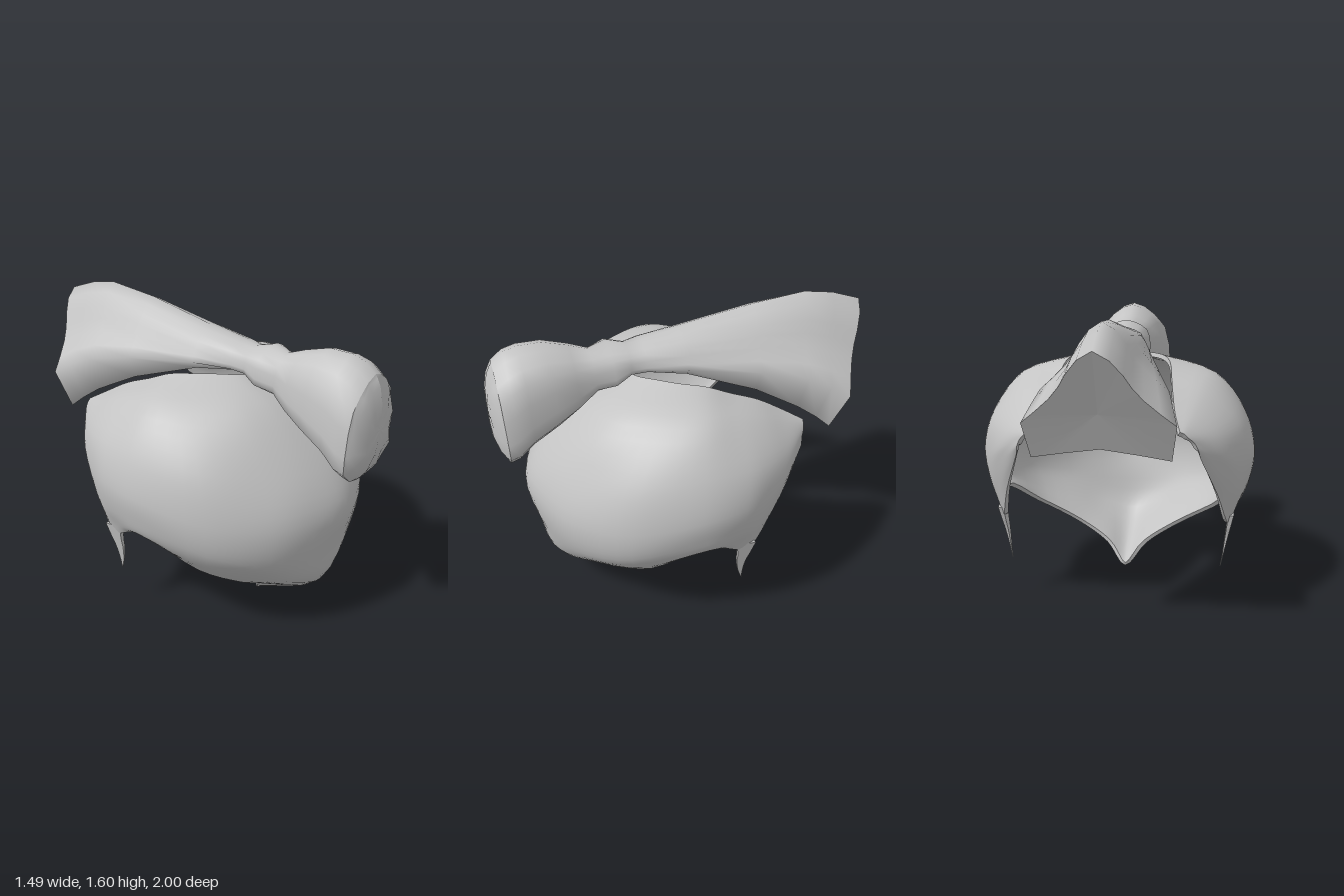
import * as THREE from 'three';

const V = (p) => new THREE.Vector3(...p);

// Smooth surface through a grid of points (columns of equal length)
function gridGeometry(cols) {
  const n = cols[0].length, index = [];
  for (let i = 0; i < cols.length - 1; i++) {
    for (let j = 0; j < n - 1; j++) {
      const a = i * n + j, c = a + n;
      index.push(a, a + 1, c, a + 1, c + 1, c);
    }
  }
  const g = new THREE.BufferGeometry().setFromPoints(cols.flat());
  g.setIndex(index);
  g.computeVertexNormals();
  return g;
}

// Half rail from front centre to rear corner, mirrored into one curve across the front
function rail(half) {
  const mirrored = half.slice(1).reverse().map(([x, y, z]) => [-x, y, z]);
  return new THREE.CatmullRomCurve3([...mirrored, ...half].map(V));
}

// Horizontal rails of the hood, from the slit on top to the lower edge
const slit = rail([[0, 1.3, .27], [.1, 1.32, .25], [.17, 1.33, .18], [.24, 1.33, .08], [.28, 1.31, -.05],
  [.295, 1.255, -.18], [.31, 1.2, -.32], [.33, 1.125, -.45], [.36, 1.06, -.56]]);
const shoulder = rail([[0, 1.18, .52], [.16, 1.2, .5], [.33, 1.22, .42], [.46, 1.24, .23], [.53, 1.24, .03],
  [.49, 1.21, -.15], [.46, 1.16, -.3], [.42, 1.1, -.435], [.38, 1.05, -.555]]);
const upper = rail([[0, .93, .76], [.21, .95, .71], [.39, .97, .6], [.6, 1.01, .38], [.68, 1.05, .08],
  [.66, 1.04, -.15], [.61, 1.02, -.29], [.52, 1.015, -.425], [.4, 1.03, -.55]]);
const equator = rail([[0, .72, .855], [.22, .72, .8], [.42, .72, .69], [.64, .76, .44], [.74, .83, .1],
  [.72, .85, -.13], [.67, .85, -.25], [.575, .91, -.4], [.43, 1, -.53]]);
const lower = rail([[0, .48, .81], [.2, .48, .775], [.4, .5, .67], [.62, .58, .44], [.725, .69, .08],
  [.7, .68, -.12], [.665, .68, -.22], [.58, .83, -.38], [.45, .96, -.52]]);
const chin = rail([[0, .23, .735], [.16, .28, .705], [.34, .36, .6], [.57, .47, .4], [.7, .61, .06],
  [.655, .57, -.13], [.64, .57, -.2], [.565, .75, -.37], [.455, .935, -.505]]);
const hem = rail([[0, 0, .33], [.12, .12, .41], [.3, .24, .43], [.53, .4, .32], [.65, .57, .03],
  [.63, .5, -.13], [.61, .48, -.2], [.55, .68, -.35], [.46, .91, -.49]]);

function buildHood(material) {
  const rails = [slit, shoulder, upper, equator, lower, chin, hem];
  const U = 64, W = 24, outer = [];
  for (let i = 0; i <= U; i++) {
    const column = new THREE.CatmullRomCurve3(rails.map((r) => r.getPoint(i / U)));
    outer.push(column.getPoints(W));
  }
  const outerGeo = gridGeometry(outer);
  const normal = outerGeo.attributes.normal;
  const inner = outer.map((col, i) => col.map((p, j) =>
    p.clone().addScaledVector(new THREE.Vector3().fromBufferAttribute(normal, i * (W + 1) + j), -.025)));

  // Rim joining the two skins all round the edge
  const loop = [];
  for (let i = 0; i <= U; i++) loop.push([i, 0]);
  for (let j = 1; j <= W; j++) loop.push([U, j]);
  for (let i = U - 1; i >= 0; i--) loop.push([i, W]);
  for (let j = W - 1; j >= 0; j--) loop.push([0, j]);
  const rim = loop.map(([i, j]) => [inner[i][j], outer[i][j]]);

  const hood = new THREE.Group();
  hood.name = 'hood';
  const parts = { hoodOuter: outerGeo, hoodLining: gridGeometry([...inner].reverse()), hoodRim: gridGeometry(rim) };
  for (const [name, geo] of Object.entries(parts)) {
    const mesh = new THREE.Mesh(geo, material);
    mesh.name = name;
    hood.add(mesh);
  }
  return hood;
}

// Half cross-sections (x as share of half width, y as share of height), top to bottom
const roundSection = [[0, 1], [.3, .96], [.6, .87], [.84, .76], [.96, .57], [1, .33],
  [.98, .17], [.64, .045], [.3, .01], [0, 0]];
const tentSection = [[0, 1], [.2, .92], [.36, .79], [.46, .68], [.6, .57], [.8, .45],
  [1, .34], [.93, 0], [.5, .05], [0, .1]];

// Knotted cloth stations: top z, top y, bottom z, bottom y, half width, tent share
const stations = [
  [-1, 1.51, -.73, .96, .36, 1], [-.84, 1.57, -.66, 1.02, .335, 1], [-.68, 1.6, -.56, 1.09, .31, 1],
  [-.4, 1.575, -.35, 1.19, .25, .8], [0, 1.5, 0, 1.3, .175, .4], [.2, 1.468, .2, 1.32, .12, 0],
  [.28, 1.455, .28, 1.31, .105, 0], [.38, 1.485, .36, 1.27, .14, 0], [.47, 1.46, .45, 1.24, .105, 0],
  [.57, 1.5, .55, 1.17, .15, 0], [.7, 1.54, .66, 1.1, .185, 0], [.82, 1.54, .8, 1.02, .21, 0],
  [.89, 1.52, .88, .95, .225, 0], [.95, 1.47, .93, .93, .215, 0]];

function sectionRing([zt, yt, zb, yb, w, tent]) {
  const lerp = THREE.MathUtils.lerp;
  const half = roundSection.map(([x, v], k) => {
    const sx = lerp(x, tentSection[k][0], tent), sv = lerp(v, tentSection[k][1], tent);
    return new THREE.Vector3(sx * w, lerp(yb, yt, sv), lerp(zb, zt, sv));
  });
  const mirror = half.slice(1, -1).reverse().map((p) => new THREE.Vector3(-p.x, p.y, p.z));
  const ring = [...half, ...mirror];
  ring.push(ring[0].clone());
  return ring;
}

// Closes an end by shrinking its ring to a centre; a higher bulge rounds it, flute presses in ribs
function endCap(ring, centre, bulge, flute) {
  return gridGeometry([1, .93, .8, .5, .25, .001].map((s) => ring.map((p, k) => {
    const q = centre.clone().lerp(p, s);
    q.z = THREE.MathUtils.lerp(centre.z, p.z, s ** bulge);
    if (s < 1 && k % 2) q.z -= flute * s;
    return q;
  })));
}

function buildCloth(material) {
  const rings = stations.map(sectionRing);
  const cloth = new THREE.Group();
  cloth.name = 'knottedCloth';
  const add = (name, geo) => {
    const mesh = new THREE.Mesh(geo, material);
    mesh.name = name;
    cloth.add(mesh);
  };
  const body = gridGeometry(rings);
  // Weld normals along the top seam
  const n = body.attributes.normal, len = rings[0].length;
  for (let i = 0; i < rings.length; i++) {
    const a = i * len, b = a + len - 1;
    const s = new THREE.Vector3().fromBufferAttribute(n, a)
      .add(new THREE.Vector3().fromBufferAttribute(n, b)).normalize();
    n.setXYZ(a, s.x, s.y, s.z);
    n.setXYZ(b, s.x, s.y, s.z);
  }
  add('bowAndTail', body);
  add('bowFront', endCap(rings.at(-1), new THREE.Vector3(0, 1.2, 1), 4, .012));
  add('tailEnd', endCap([...rings[0]].reverse(), new THREE.Vector3(0, 1.2, -.84), 1, 0));
  return cloth;
}

// Thin pointed strand hanging from the side hem
function spikeGeometry() {
  const s = new THREE.Shape();
  s.moveTo(.1, .55);
  s.quadraticCurveTo(.135, .5, .13, .4);
  s.quadraticCurveTo(.14, .3, .175, .23);
  s.quadraticCurveTo(.165, .36, .2, .45);
  s.lineTo(.22, .53);
  const g = new THREE.ExtrudeGeometry(s, { depth: .03, bevelEnabled: false, curveSegments: 5 });
  g.rotateY(Math.PI / 2);
  const p = g.attributes.position;
  for (let i = 0; i < p.count; i++) {
    const t = (p.getY(i) - .23) / .32;
    p.setX(i, .575 + .065 * t + (p.getX(i) - .03) * Math.max(t, .15));
  }
  g.computeVertexNormals();
  return g;
}

export function createModel() {
  const grey = new THREE.MeshStandardMaterial({ color: 0xc4c4c4, side: THREE.DoubleSide });
  grey.name = 'light grey';
  const model = new THREE.Group();
  model.name = 'knottedHood';
  model.add(buildHood(grey), buildCloth(grey));
  const spike = spikeGeometry();
  for (const side of [1, -1]) {
    const mesh = new THREE.Mesh(spike, grey);
    mesh.name = side > 0 ? 'leftSpike' : 'rightSpike';
    mesh.scale.x = side;
    model.add(mesh);
  }
  return model;
}
